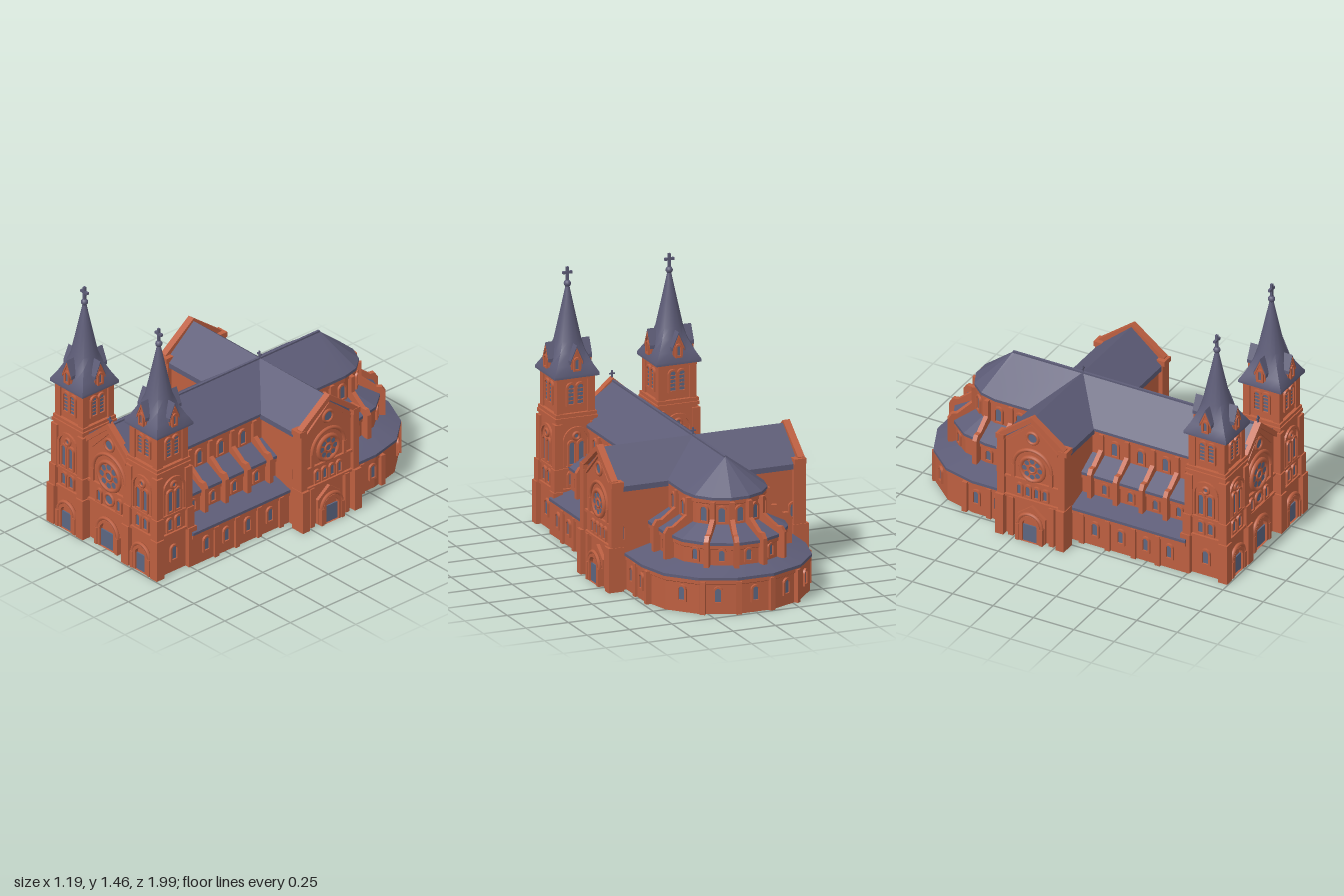
import * as THREE from 'three';
import { toCreasedNormals } from 'three/addons/utils/BufferGeometryUtils.js';

const paint = (name, color) => {
  const m = new THREE.MeshStandardMaterial({ color });
  m.name = name;
  return m;
};

export function createModel() {
  const brick = paint('terracotta brick', 0xbd5f40);
  const slate = paint('slate', 0x5d5c77);
  const glass = paint('leaded glass', 0x5c6681);
  const root = new THREE.Group();
  root.name = 'church';

  // ---- helpers ----
  const add = (p, name, geo, mat, x = 0, y = 0, z = 0) => {
    const m = new THREE.Mesh(geo, mat);
    m.name = name;
    m.position.set(x, y, z);
    p.add(m);
    return m;
  };
  const group = (p, name, x = 0, y = 0, z = 0, ry = 0) => {
    const g = new THREE.Group();
    g.name = name;
    g.position.set(x, y, z);
    g.rotation.y = ry;
    p.add(g);
    return g;
  };
  // box standing on height y
  const box = (p, name, mat, w, h, d, x, y, z) =>
    add(p, name, new THREE.BoxGeometry(w, h, d), mat, x, y + h / 2, z);
  const poly = pts => new THREE.Shape(pts.map(a => new THREE.Vector2(...a)));
  const extrude = (shape, depth) =>
    new THREE.ExtrudeGeometry(shape, { depth, bevelEnabled: false, curveSegments: 8 });
  const chevron = (half, eave, peak, t) => poly([[-half, eave - t], [0, peak - t], [half, eave - t],
    [half, eave], [0, peak], [-half, eave]]);
  const house = (half, eave, peak, base = 0) =>
    poly([[-half, base], [half, base], [half, eave], [0, peak], [-half, eave]]);
  const arch = (w, h, y = 0, Type = THREE.Shape) => {
    const s = new Type(), r = w / 2;
    s.moveTo(-r, y);
    s.lineTo(r, y);
    s.lineTo(r, y + h - r);
    s.absarc(0, y + h - r, r, 0, Math.PI, false);
    s.lineTo(-r, y);
    return s;
  };
  const archFrame = (w, h, t, bottom = t) => {
    const s = arch(w + 2 * t, h + t + bottom, -bottom);
    s.holes.push(arch(w, h, 0, THREE.Path));
    return s;
  };
  // skin of rings, each a loop of [x, y, z] running anticlockwise from above
  const loft = (rings, crease = 0.4) => {
    const n = rings[0].length, idx = [];
    for (let i = 0; i < rings.length - 1; i++) for (let j = 0; j < n; j++) {
      const a = i * n + j, b = i * n + (j + 1) % n;
      idx.push(a, b, b + n, a, b + n, a + n);
    }
    const g = new THREE.BufferGeometry();
    g.setAttribute('position', new THREE.Float32BufferAttribute(rings.flat(2), 3));
    g.setIndex(idx);
    return toCreasedNormals(g, crease);
  };

  // framed round-headed window; local +z points out of the wall
  const windowAt = (p, w, h, x, y, z = 0, ry = 0) => {
    const g = group(p, 'window', x, y, z, ry);
    add(g, 'windowPane', extrude(arch(w, h), 0.004), glass);
    add(g, 'windowFrame', extrude(archFrame(w, h, 0.011), 0.016), brick, 0, 0, -0.003);
  };
  const pair = (p, w, h, gap, y, z) => [-1, 1].forEach(s => windowAt(p, w, h, s * gap, y, z));
  const roundWindow = (p, r, y, z, x = 0) => {
    add(p, 'roundPane', new THREE.CircleGeometry(r, 20), glass, x, y, z + 0.005);
    add(p, 'roundFrame', new THREE.TorusGeometry(r, 0.009, 6, 20), brick, x, y, z + 0.004);
  };
  const rose = (p, r, y) => {
    const g = group(p, 'roseWindow', 0, y, 0);
    add(g, 'roseTracery', new THREE.CircleGeometry(r, 28), brick, 0, 0, 0.006);
    add(g, 'roseRim', new THREE.TorusGeometry(r, 0.013, 6, 28), brick, 0, 0, 0.005);
    add(g, 'roseRing', new THREE.TorusGeometry(r * 0.3, 0.006, 6, 16), brick, 0, 0, 0.007);
    add(g, 'roseHub', new THREE.CircleGeometry(r * 0.22, 12), glass, 0, 0, 0.009);
    for (let i = 0; i < 8; i++) {
      const a = i * Math.PI / 4;
      add(g, 'rosePetal', new THREE.CircleGeometry(r * 0.21, 10), glass,
        Math.cos(a) * r * 0.66, Math.sin(a) * r * 0.66, 0.009);
    }
    add(p, 'roseHood', new THREE.TorusGeometry(r + 0.045, 0.011, 6, 24, Math.PI), brick, 0, y, 0.004);
    [-1, 1].forEach(s => box(p, 'roseShaft', brick, 0.02, y - 0.36, 0.02, s * (r + 0.045), 0.36, 0.004));
  };
  const portal = (p, w, z) => {
    box(p, 'door', glass, w, 0.1, 0.008, 0, 0, z + 0.004);
    add(p, 'portalInner', extrude(archFrame(w, 0.1 + w / 2, 0.018, 0), 0.022), brick, 0, 0, z - 0.002);
    add(p, 'portalOuter', new THREE.TorusGeometry(w / 2 + 0.028, 0.011, 6, 16, Math.PI), brick, 0, 0.1, z + 0.012);
    [-1, 1].forEach(s => box(p, 'portalJamb', brick, 0.02, 0.1, 0.03, s * (w / 2 + 0.028), 0, z + 0.01));
  };
  const cross = (p, x, y, z, s) => {
    const g = group(p, 'cross', x, y, z);
    box(g, 'crossPost', slate, s * 0.16, s, s * 0.16, 0, 0, 0);
    box(g, 'crossArm', slate, s * 0.62, s * 0.16, s * 0.16, 0, s * 0.56, 0);
  };

  // ---- nave, aisles and round east end ----
  const cz = -0.56, SEG = 7;
  const outline = (y, wFront, wBack, rz, z0) => {
    const pts = [[-wFront, y, z0], [wFront, y, z0], [wFront, y, -0.15], [wBack, y, -0.16]];
    for (let i = 0; i <= SEG; i++) {
      const a = Math.PI / 2 + Math.PI * i / SEG;
      pts.push([wBack * Math.sin(a), y, cz + rz * Math.cos(a)]);
    }
    return [...pts, [-wBack, y, -0.16], [-wFront, y, -0.15]];
  };
  const spine = (ring, y, zMin = -9) => ring.map(q => [0, y, Math.max(q[2], zMin)]);
  const tier = (name, y0, y1, yTop, wf, wb, rz, z0, inner) => {
    const base = outline(y0, wf, wb, rz, z0), e = 0.012;
    add(root, name + 'Wall', loft([spine(base, y0), base, outline(y1, wf, wb, rz, z0)], 0.2), brick);
    const eave = y => outline(y, wf + e, wb + e, rz + e, z0);
    const top = inner ? outline(yTop, inner, inner, inner, z0) : spine(eave(0), yTop, -0.58);
    add(root, name + 'Roof', loft([outline(y1 - 0.01, wf, wb, rz, z0), eave(y1 - 0.008), eave(y1 + 0.008), top], 0.2), slate);
    add(root, name + 'Cornice', loft([outline(y1 - 0.035, wf, wb, rz, z0), outline(y1 - 0.03, wf + 0.008, wb + 0.008, rz + 0.008, z0),
      outline(y1 - 0.008, wf + 0.008, wb + 0.008, rz + 0.008, z0)], 0.2), brick);
  };
  tier('aisle', 0, 0.2, 0.255, 0.445, 0.472, 0.428, 0.74, 0.3);
  tier('gallery', 0.2, 0.365, 0.44, 0.335, 0.335, 0.335, 0.74, 0.215);
  tier('clerestory', 0.36, 0.585, 0.762, 0.225, 0.225, 0.215, 0.93, 0);
  add(root, 'roofRidge', new THREE.BoxGeometry(0.014, 0.012, 1.5), slate, 0, 0.761, 0.17);

  // one bay of windows, at wall half-widths for the three storeys
  const rows = [[0.07, 0.032, 0.075], [0.27, 0.03, 0.06], [0.455, 0.036, 0.08]];
  const storeys = [[0.472, 0.428], [0.335, 0.335], [0.225, 0.215]];
  for (const s of [-1, 1]) {
    for (const z of [0.18, 0.34, 0.495, 0.64, -0.41, -0.54])
      rows.forEach(([y, w, h], i) =>
        windowAt(root, w, h, s * (i === 0 && z > 0 ? 0.445 : storeys[i][0]), y, z, s * Math.PI / 2));
  }
  const step = Math.PI / SEG, k = Math.cos(step / 2);
  for (let i = -2; i <= 2; i++) {
    const a = Math.PI + i * step, sn = Math.sin(a), cs = Math.cos(a);
    rows.forEach(([y, w, h], j) => {
      const [rx, rz] = storeys[j];
      windowAt(root, w, h, rx * k * sn, y, cz + rz * k * cs, Math.atan2(sn / rx, cs / rz));
    });
  }

  // stepped flying buttress; its profile is drawn outward and upward
  const flyer = poly([[0.2, 0.24], [0.375, 0.24], [0.375, 0.385], [0.355, 0.415], [0.325, 0.415],
    [0.245, 0.475], [0.245, 0.57], [0.2, 0.57]]);
  const buttress = (z, ry, reach) => {
    const g = group(root, 'buttress', 0, 0, z, ry);
    add(g, 'flyingButtress', extrude(flyer, 0.026), brick, 0.013, 0, 0).rotation.y = -Math.PI / 2;
    box(g, 'aislePier', brick, 0.03, 0.185, 0.04, 0, 0, reach - 0.005);
  };
  for (const s of [-1, 1]) {
    for (const z of [0.1, 0.26, 0.42, 0.57]) buttress(z, s * Math.PI / 2, 0.445);
    for (const z of [-0.46, -0.61]) buttress(z, s * Math.PI / 2, 0.472);
    for (const m of [0.5, 1.5]) buttress(cz, Math.PI + s * m * step, m < 1 ? 0.43 : 0.445);
  }

  // ---- gabled fronts: west front and both transept ends ----
  const gableFront = (p, half, roseR) => {
    add(p, 'gableCoping', extrude(chevron(half + 0.012, 0.625, 0.778, 0.035), 0.04), brick, 0, 0, -0.02);
    add(p, 'gableMoulding', extrude(chevron(half - 0.03, 0.585, 0.725, 0.014), 0.012), brick);
    roundWindow(p, 0.034, 0.64, 0);
    rose(p, roseR, 0.445);
    for (const y of [0.235, 0.355]) box(p, 'stringCourse', brick, half * 2, 0.014, 0.03, 0, y, 0);
  };
  const west = group(root, 'westFront', 0, 0, 0.935);
  add(west, 'westWall', extrude(house(0.175, 0.6, 0.75), 0.2), brick, 0, 0, -0.2);
  gableFront(west, 0.165, 0.085);
  roundWindow(west, 0.034, 0.3, 0);
  pair(west, 0.026, 0.065, 0.08, 0.262, 0);
  portal(west, 0.11, 0.006);
  cross(west, 0, 0.765, 0, 0.05);

  const tz = -0.148;
  const transept = group(root, 'transept', 0, 0, tz, Math.PI / 2);
  add(transept, 'transeptWall', extrude(house(0.185, 0.585, 0.735), 1.1), brick, 0, 0, -0.55);
  add(transept, 'transeptRoof', extrude(chevron(0.203, 0.59, 0.762, 0.03), 1.08), slate, 0, 0, -0.54);
  for (const s of [-1, 1]) {
    const end = group(root, 'transeptEnd', s * 0.55, 0, tz, s * Math.PI / 2);
    gableFront(end, 0.19, 0.072);
    for (const x of [-0.08, -0.027, 0.027, 0.08]) windowAt(end, 0.024, 0.06, x, 0.268, 0);
    add(end, 'porch', extrude(house(0.085, 0.15, 0.215), 0.02), brick);
    portal(end, 0.09, 0.022);
    for (const t of [-1, 1]) {
      box(end, 'cornerPierBase', brick, 0.05, 0.25, 0.09, t * 0.188, 0, -0.005);
      box(end, 'cornerPier', brick, 0.042, 0.35, 0.07, t * 0.188, 0.24, -0.012);
      box(end, 'cornerCap', brick, 0.05, 0.03, 0.07, t * 0.195, 0.59, -0.012);
      box(end, 'innerPier', brick, 0.03, 0.24, 0.04, t * 0.125, 0, 0.003);
      // windows on the long sides of the transept
      windowAt(root, 0.032, 0.075, s * 0.505, 0.29, tz + t * 0.185, t > 0 ? 0 : Math.PI);
    }
  }
  cross(root, 0, 0.755, tz, 0.05);

  // ---- twin towers ----
  // square eave passing into a round spire; blend 0 is square, 1 is round
  const spireRing = (r, y, blend) => Array.from({ length: 16 }, (_, i) => {
    const a = i * Math.PI / 8, c = Math.cos(a), s = Math.sin(a);
    const q = r * THREE.MathUtils.lerp(1 / Math.max(Math.abs(c), Math.abs(s)), 1, blend);
    return [q * s, y, q * c];
  });
  const spire = loft([[0, 0.872, 0], [0.132, 0.872, 0], [0.132, 0.888, 0], [0.113, 0.935, 0.25], [0.092, 1, 0.7],
    [0.075, 1.06, 1], [0.042, 1.21, 1], [0.01, 1.36, 1]].map(a => spireRing(...a)), 0.6);

  const tower = x => {
    const g = group(root, 'tower', x, 0, 0.85);
    box(g, 'towerShaft', brick, 0.232, 0.66, 0.232, 0, 0, 0);
    box(g, 'belfry', brick, 0.204, 0.22, 0.204, 0, 0.66, 0);
    for (const [y, w, h] of [[0.235, 0.262, 0.016], [0.352, 0.25, 0.014], [0.63, 0.25, 0.018], [0.652, 0.242, 0.018], [0.855, 0.226, 0.02]])
      box(g, 'towerCornice', brick, w, h, w, 0, y, 0);
    for (const sx of [-1, 1]) for (const sz of [-1, 1]) {
      box(g, 'buttressBase', brick, 0.056, 0.24, 0.056, sx * 0.117, 0, sz * 0.117);
      box(g, 'buttressMiddle', brick, 0.05, 0.13, 0.05, sx * 0.111, 0.235, sz * 0.111);
      box(g, 'buttressTop', brick, 0.046, 0.26, 0.046, sx * 0.105, 0.355, sz * 0.105);
      box(g, 'belfryPier', brick, 0.04, 0.21, 0.04, sx * 0.092, 0.66, sz * 0.092);
    }
    for (let i = 0; i < 4; i++) {
      const f = group(g, 'towerFace', 0, 0, 0, i * Math.PI / 2);
      if (i === 0) portal(f, 0.08, 0.118);
      else windowAt(f, 0.036, 0.08, 0, 0.08, 0.116);
      pair(f, 0.03, 0.068, 0.03, 0.27, 0.116);
      add(f, 'niche', extrude(archFrame(0.13, 0.205, 0.014, 0), 0.014), brick, 0, 0.375, 0.114);
      pair(f, 0.03, 0.125, 0.028, 0.385, 0.116);
      roundWindow(f, 0.018, 0.542, 0.117);
      pair(f, 0.034, 0.11, 0.027, 0.72, 0.102);
      for (let n = 0; n < 4; n++) box(f, 'louvre', brick, 0.095, 0.005, 0.008, 0, 0.737 + n * 0.022, 0.105);
      // dormer on the spire
      add(f, 'dormer', extrude(house(0.03, 0.965, 1.03, 0.9), 0.08), brick, 0, 0, 0.04);
      add(f, 'dormerRoof', extrude(chevron(0.038, 0.967, 1.053, 0.02), 0.095), slate, 0, 0, 0.034);
      add(f, 'dormerTrim', extrude(chevron(0.034, 0.962, 1.04, 0.018), 0.006), brick, 0, 0, 0.125);
      windowAt(f, 0.02, 0.055, 0, 0.92, 0.12);
    }
    add(g, 'spire', spire, slate);
    add(g, 'spireBall', new THREE.SphereGeometry(0.02, 12, 8), slate, 0, 1.37, 0);
    cross(g, 0, 1.375, 0, 0.088);
  };
  [-0.3, 0.3].forEach(tower);
  return root;
}
